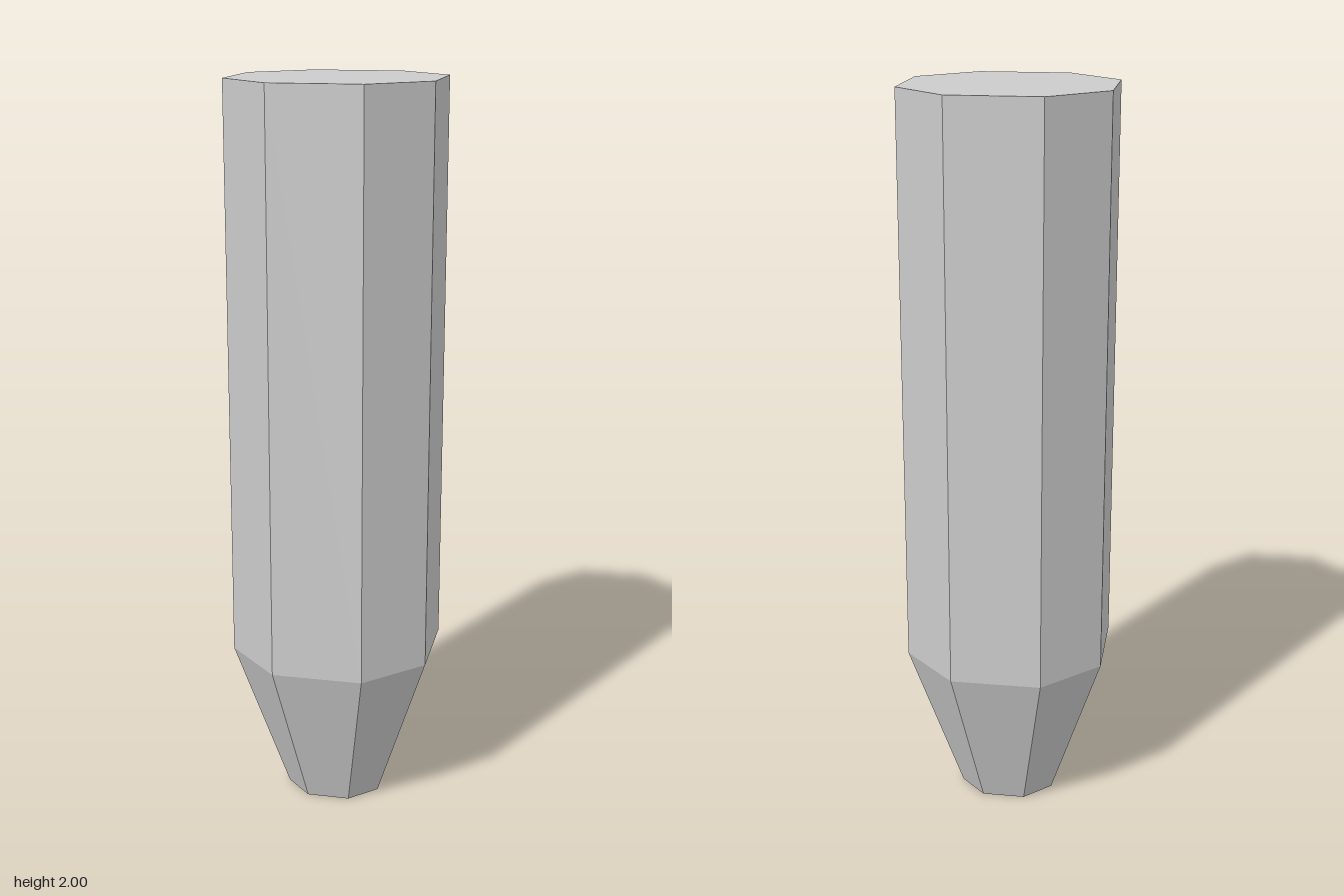
import * as THREE from 'three';

const material = new THREE.MeshStandardMaterial({ color: 0xcccccc, flatShading: true });
const CORNER = 0.452; // half flat width relative to half overall width

// Eight-sided solid from [half width, height] pairs, listed from bottom to top
function octagonPart(name, profile) {
  const points = profile.map(([w, y]) => new THREE.Vector2(w / Math.cos(Math.PI / 8), y));
  const geometry = new THREE.LatheGeometry(points, 8, Math.PI / 8);
  const p = geometry.attributes.position;
  // Widen the four axis-aligned flats a little, narrowing the diagonal ones
  for (let i = 0; i < p.count; i++) {
    const x = p.getX(i), z = p.getZ(i);
    const half = Math.max(Math.abs(x), Math.abs(z));
    if (Math.abs(x) > Math.abs(z)) p.setZ(i, Math.sign(z) * half * CORNER);
    else p.setX(i, Math.sign(x) * half * CORNER);
  }
  geometry.computeVertexNormals();
  const mesh = new THREE.Mesh(geometry, material);
  mesh.name = name;
  return mesh;
}

export function createModel() {
  const group = new THREE.Group();
  group.name = 'post';
  // Tapered foot with a flat underside
  group.add(octagonPart('taperedTip', [[0, 0], [0.13, 0], [0.272, 0.435]]));
  // Straight shaft with a flat top
  group.add(octagonPart('shaft', [[0.272, 0.435], [0.272, 2], [0, 2]]));
  return group;
}
